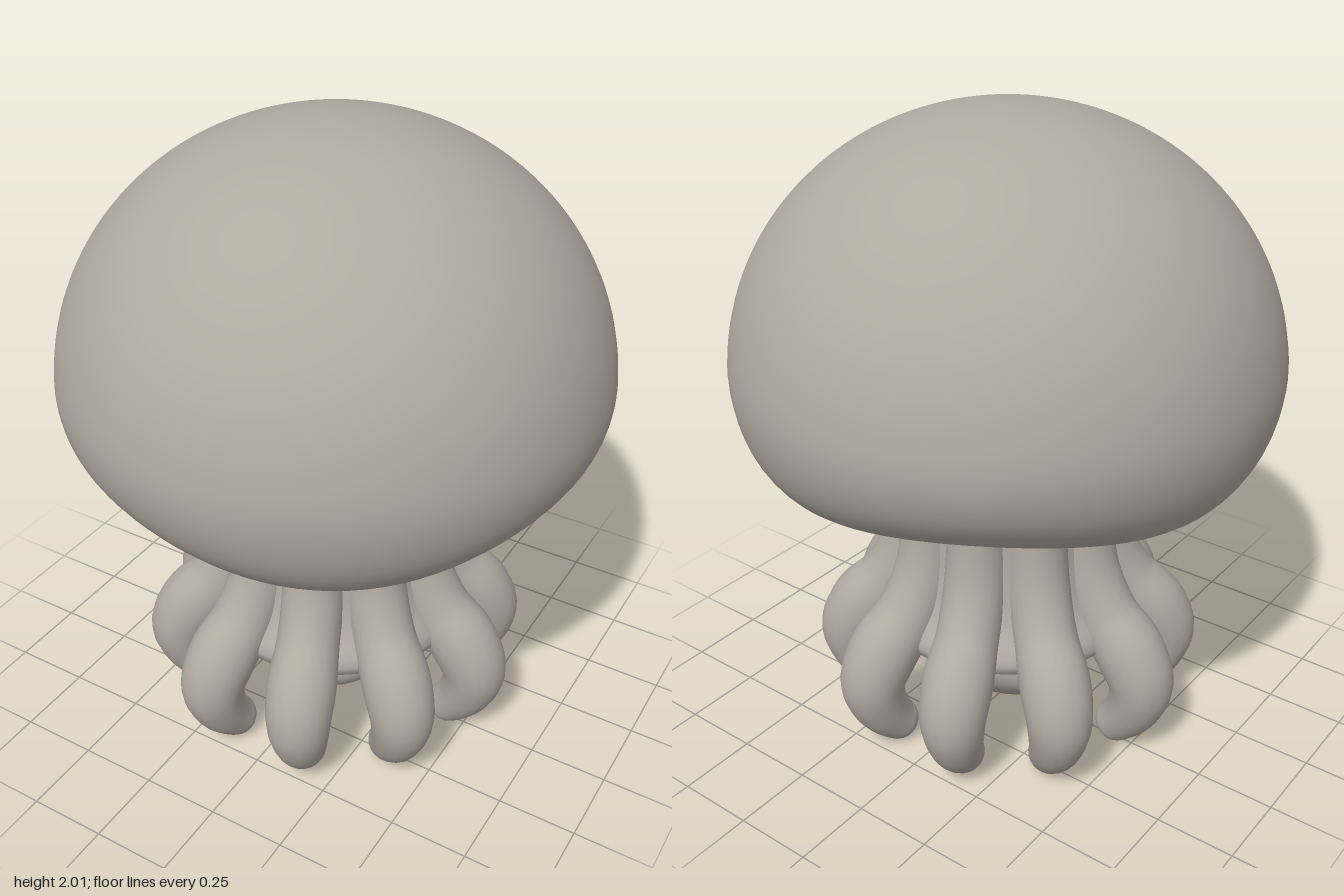
import * as THREE from 'three';
import { mergeVertices } from 'three/addons/utils/BufferGeometryUtils.js';

const grey = new THREE.MeshStandardMaterial({ color: 0xb0aaa1 });
grey.name = 'warm grey';

// Smooth lathe through [radius, y] points listed bottom to top, with an optional vertex rule
function smoothLathe(points, steps, segments, rule) {
  const curve = new THREE.SplineCurve(points.map(([r, y]) => new THREE.Vector2(r, y)));
  const profile = curve.getSpacedPoints(steps);
  profile.forEach((p) => { p.x = Math.max(p.x, 0); });
  let geo = new THREE.LatheGeometry(profile, segments);
  geo.deleteAttribute('uv');
  geo.deleteAttribute('normal');
  geo = mergeVertices(geo, 1e-4);
  if (rule) {
    const pos = geo.attributes.position;
    const v = new THREE.Vector3();
    for (let i = 0; i < pos.count; i++) {
      v.fromBufferAttribute(pos, i);
      rule(v);
      pos.setXYZ(i, v.x, v.y, v.z);
    }
  }
  geo.computeVertexNormals();
  return geo;
}

// Tapered arm swept down a path of [radius from axis, y, thickness]
function armGeometry(points, rings, sides) {
  const curve = new THREE.CatmullRomCurve3(points.map((p) => new THREE.Vector3(...p)));
  const verts = [];
  const index = [];
  for (let i = 0; i <= rings; i++) {
    // rings crowd together towards the rounded tip
    const t = Math.sin((i / rings) * Math.PI / 2);
    const c = curve.getPointAt(t);
    const d = curve.getTangentAt(t);
    const len = Math.hypot(d.x, d.y);
    const s = Math.max(0, (t - 0.95) / 0.05);
    const rad = Math.max(0.001, c.z * Math.sqrt(Math.max(0, 1 - s * s)));
    for (let j = 0; j < sides; j++) {
      const a = (j / sides) * Math.PI * 2;
      const out = rad * Math.cos(a);
      verts.push(c.x - (d.y / len) * out, c.y + (d.x / len) * out, rad * 0.97 * Math.sin(a));
      if (i < rings) {
        const p = i * sides + j, q = i * sides + (j + 1) % sides;
        index.push(p, q, p + sides, q, q + sides, p + sides);
      }
    }
  }
  const geo = new THREE.BufferGeometry();
  geo.setAttribute('position', new THREE.Float32BufferAttribute(verts, 3));
  geo.setIndex(index);
  geo.computeVertexNormals();
  return geo;
}

export function createModel() {
  const model = new THREE.Group();
  model.name = 'jellyfish';
  const add = (name, geo) => {
    const mesh = new THREE.Mesh(geo, grey);
    mesh.name = name;
    model.add(mesh);
    return mesh;
  };

  // Domed bell with a rolled rim that waves gently in three lobes
  const bell = [[0, 1.02], [0.25, 1.0], [0.4, 0.965], [0.5, 0.935], [0.61, 0.925],
    [0.715, 0.965], [0.8, 1.075]];
  for (let i = 0; i <= 8; i++) {
    const a = (i / 8) * Math.PI / 2;
    bell.push([0.835 * Math.cos(a), 1.22 + 0.78 * Math.sin(a)]);
  }
  add('bell', smoothLathe(bell, 70, 96, (v) => {
    const low = THREE.MathUtils.smoothstep(1.3 - v.y, 0, 0.35);
    const edge = THREE.MathUtils.smoothstep(Math.hypot(v.x, v.z), 0.2, 0.5);
    v.y -= 0.028 * low * edge * Math.cos(3 * (Math.atan2(v.z, v.x) - Math.PI / 3));
  }));

  // Core column between the arms
  add('stem', smoothLathe([[0, 0.32], [0.25, 0.32], [0.4, 0.345], [0.425, 0.39], [0.365, 0.5],
    [0.335, 0.65], [0.325, 0.85], [0.325, 1.05]], 40, 60));

  // Lumpy bulb hanging inside the ring of arms
  add('innerBulb', smoothLathe([[0, 0.055], [0.1, 0.065], [0.2, 0.11], [0.28, 0.2],
    [0.285, 0.28], [0.25, 0.36]], 20, 40, (v) => {
    const k = 1 + 0.035 * Math.sin(5 * Math.atan2(v.z, v.x) + 14 * v.y);
    v.x *= k;
    v.z *= k;
  }));

  // Ten arms, bulging outward and curling in at the tips
  const arm = armGeometry([[0.3, 1.05, 0.09], [0.288, 0.8, 0.094], [0.31, 0.6, 0.1],
    [0.385, 0.45, 0.102], [0.475, 0.35, 0.112], [0.522, 0.25, 0.105], [0.503, 0.15, 0.09],
    [0.45, 0.07, 0.073], [0.385, 0.018, 0.06]], 56, 24);
  for (let i = 0; i < 10; i++) {
    add('arm' + (i + 1), arm).rotation.y = (i / 10) * Math.PI * 2;
  }

  return model;
}
